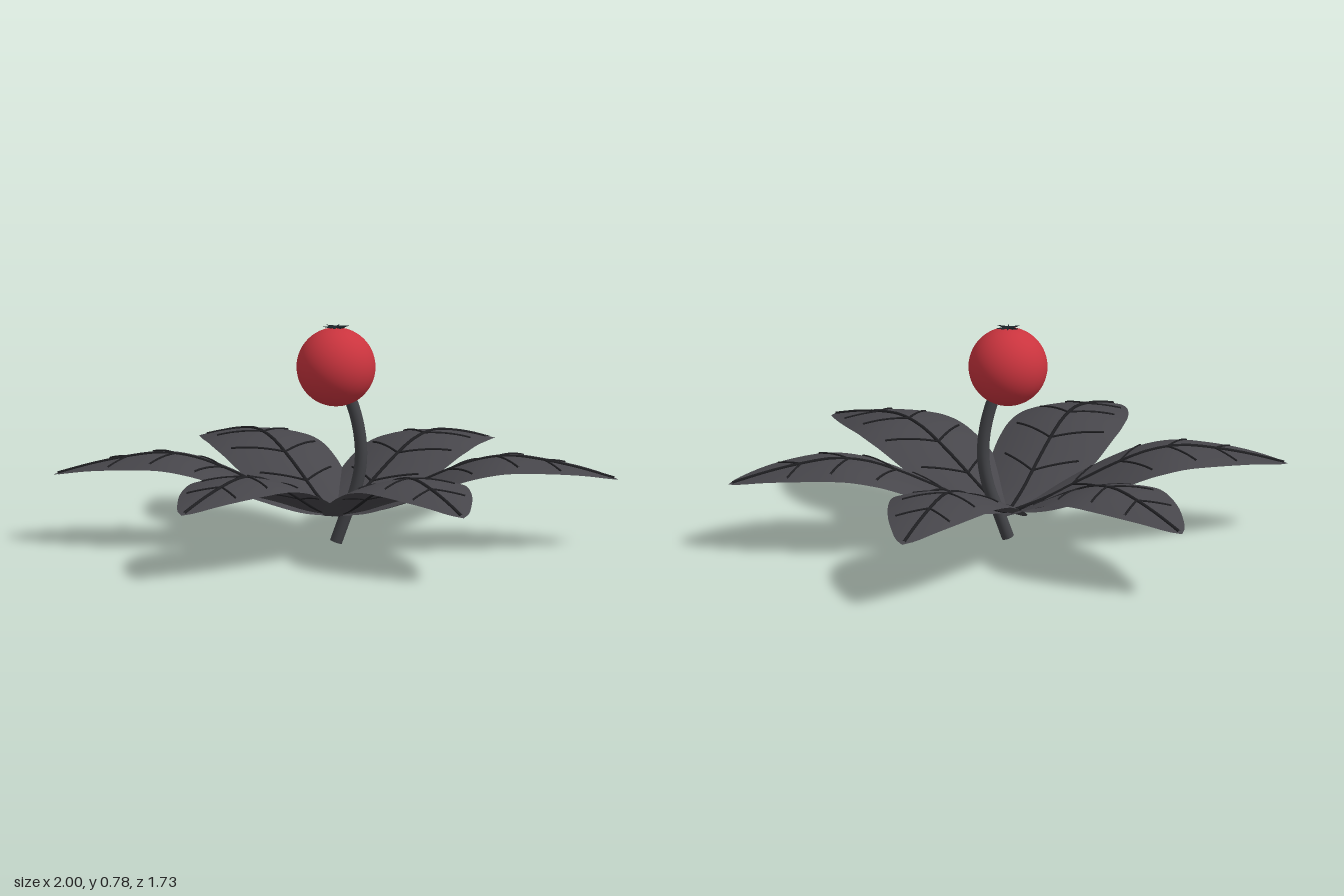
import * as THREE from 'three';

const mat = (name, color, side = THREE.FrontSide) => {
  const m = new THREE.MeshStandardMaterial({ color, side });
  m.name = name;
  return m;
};

// Smooth interpolation through a few [position, value] points
const profile = (points) => {
  const curve = new THREE.SplineCurve(points.map(([x, y]) => new THREE.Vector2(x, y)));
  const samples = curve.getPoints(200);
  return (x) => {
    const k = Math.max(1, samples.findIndex((p) => p.x >= x - 1e-6));
    const a = samples[k - 1], b = samples[k];
    return THREE.MathUtils.lerp(a.y, b.y, THREE.MathUtils.clamp((x - a.x) / (b.x - a.x), 0, 1));
  };
};

// Leaf height and half width along its length
const leafHeight = profile([[0, 0.1], [0.1, 0.13], [0.2, 0.178], [0.3, 0.225], [0.4, 0.27],
  [0.5, 0.305], [0.6, 0.32], [0.7, 0.312], [0.85, 0.282], [1, 0.24]]);
const leafWidth = profile([[0, 0.01], [0.1, 0.095], [0.2, 0.155], [0.34, 0.195], [0.5, 0.208],
  [0.6, 0.2], [0.7, 0.175], [0.82, 0.126], [0.92, 0.07], [0.97, 0.036], [1, 0]]);

// Point on the leaf surface, drooping towards the edges
const onLeaf = (r, z, lift = 0) => new THREE.Vector3(r, leafHeight(r) - 0.85 * z * z + lift, z);

function leafGeometry(nr = 40, nz = 12) {
  const pos = [], index = [];
  for (let i = 0; i <= nr; i++) {
    for (let j = 0; j <= nz; j++) {
      const r = i / nr;
      pos.push(...onLeaf(r, leafWidth(r) * (2 * j / nz - 1)).toArray());
      if (i < nr && j < nz) {
        const a = i * (nz + 1) + j, b = a + nz + 1;
        index.push(a, a + 1, b, b, a + 1, b + 1);
      }
    }
  }
  const g = new THREE.BufferGeometry();
  g.setAttribute('position', new THREE.Float32BufferAttribute(pos, 3));
  g.setIndex(index);
  g.computeVertexNormals();
  return g;
}

// Tube lying on the leaf from (r0, z0) to (r1, z1)
function veinGeometry(r0, z0, r1, z1, radius) {
  const pts = [];
  for (let i = 0; i <= 8; i++) {
    const t = i / 8;
    pts.push(onLeaf(THREE.MathUtils.lerp(r0, r1, t), THREE.MathUtils.lerp(z0, z1, t), 0.001));
  }
  return new THREE.TubeGeometry(new THREE.CatmullRomCurve3(pts), 20, radius, 6);
}

export function createModel() {
  const leafMat = mat('leaf grey', 0x47464b, THREE.DoubleSide);
  const veinMat = mat('vein dark grey', 0x1f1f22);
  const stemMat = mat('stem grey', 0x424347);
  const berryMat = mat('berry red', 0xca343e);
  const crownMat = mat('crown dark', 0x20282e, THREE.DoubleSide);

  const model = new THREE.Group();
  model.name = 'berryPlant';
  const add = (parent, name, geometry, material) => {
    const m = new THREE.Mesh(geometry, material);
    m.name = name;
    parent.add(m);
    return m;
  };

  // Six leaves, each with a midrib and paired side veins
  const blade = leafGeometry();
  const midrib = veinGeometry(0.02, 0, 0.985, 0, 0.0065);
  const sideVeins = [];
  for (const [r, dr, z] of [[0.23, 0.09, 0.14], [0.4, 0.095, 0.165], [0.57, 0.085, 0.14], [0.74, 0.065, 0.105]]) {
    for (const s of [-1, 1]) sideVeins.push(veinGeometry(r, 0, r + dr, s * z, 0.0042));
  }
  for (let k = 0; k < 6; k++) {
    const leaf = new THREE.Group();
    leaf.name = 'leaf';
    add(leaf, 'leafBlade', blade, leafMat);
    add(leaf, 'midrib', midrib, veinMat);
    for (const v of sideVeins) add(leaf, 'sideVein', v, veinMat);
    leaf.rotation.y = k * Math.PI / 3;
    model.add(leaf);
  }

  // Curved stem with a closed foot
  const path = new THREE.CatmullRomCurve3([[0, 0.008], [0.033, 0.1], [0.07, 0.2], [0.088, 0.3],
    [0.083, 0.4], [0.055, 0.51], [0, 0.62]].map(([x, y]) => new THREE.Vector3(x, y, 0)));
  add(model, 'stem', new THREE.TubeGeometry(path, 40, 0.022, 12), stemMat);
  const foot = add(model, 'stemFoot', new THREE.CircleGeometry(0.022, 12), stemMat);
  foot.position.copy(path.getPoint(0));
  foot.quaternion.setFromUnitVectors(new THREE.Vector3(0, 0, 1), path.getTangent(0).negate());

  // Berry
  const berry = add(model, 'berry', new THREE.SphereGeometry(0.14, 40, 28), berryMat);
  berry.position.y = 0.635;

  // Small star-shaped crown of pointed sepals
  const crown = new THREE.Group();
  crown.name = 'crown';
  crown.position.y = 0.776;
  for (let k = 0; k < 6; k++) {
    const sepal = new THREE.Group();
    const spike = add(sepal, 'sepal', new THREE.ConeGeometry(0.008, 0.05, 5), crownMat);
    spike.scale.z = 0.5;
    spike.rotation.z = -Math.PI / 2 + 0.1;
    spike.position.set(0.024, 0.002, 0);
    sepal.rotation.y = k * Math.PI / 3 + 0.3;
    crown.add(sepal);
  }
  model.add(crown);
  return model;
}
